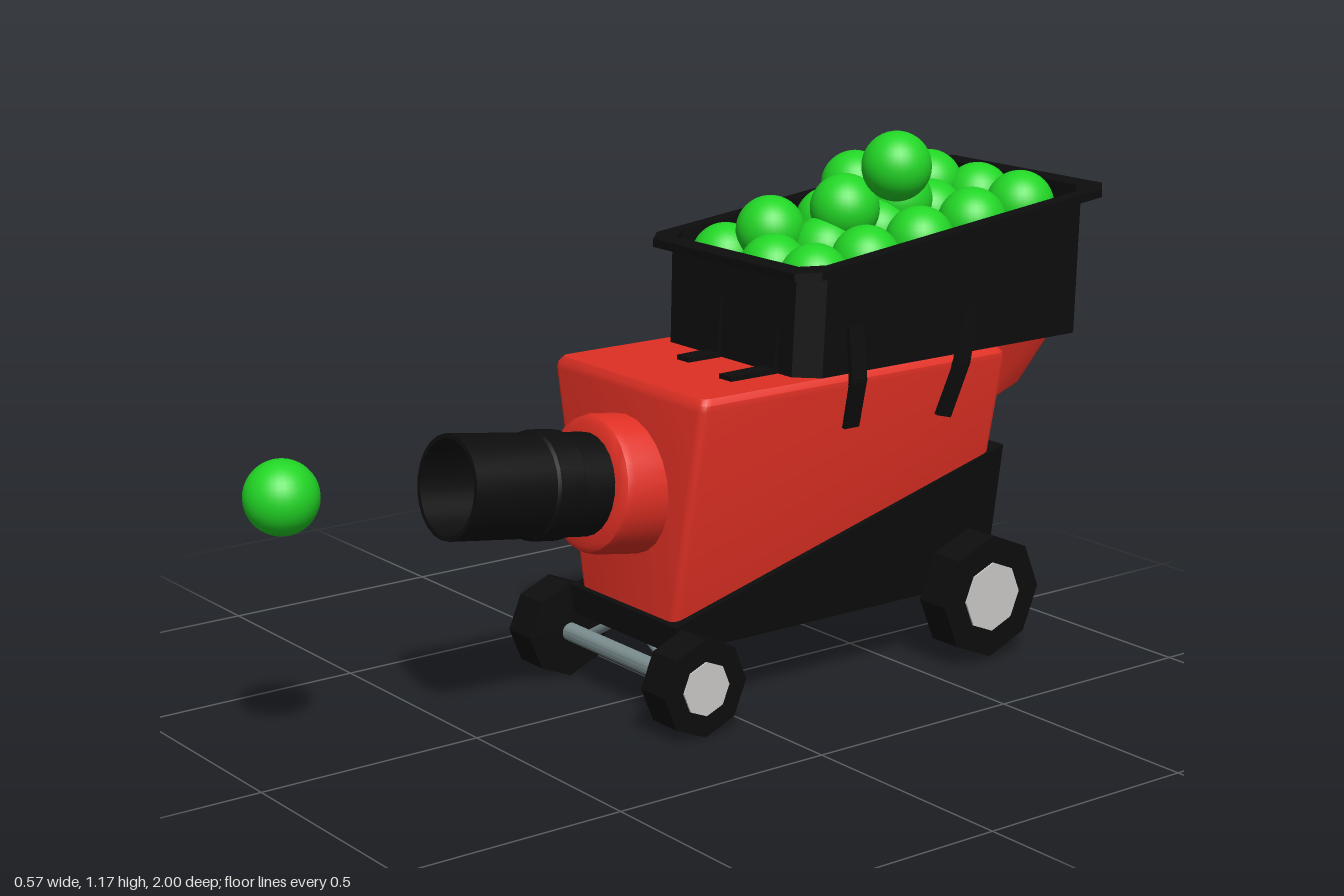
import * as THREE from 'three';
import { toCreasedNormals } from 'three/addons/utils/BufferGeometryUtils.js';

const material = (name, color, side = THREE.FrontSide) => {
  const m = new THREE.MeshStandardMaterial({ color, side });
  m.name = name;
  return m;
};

// Rounded rectangle in plan, counter-clockwise from above; y may depend on z
function ring(hw, zBack, zFront, r, y, steps = 3) {
  const pts = [];
  const corners = [[hw - r, zBack + r], [-hw + r, zBack + r], [-hw + r, zFront - r], [hw - r, zFront - r]];
  corners.forEach(([cx, cz], c) => {
    for (let i = 0; i <= (r ? steps : 0); i++) {
      const a = (c + (r ? i / steps : 0)) * Math.PI / 2;
      const z = cz - Math.sin(a) * r;
      const w = typeof y === 'function' ? y(z) : y;
      pts.push(new THREE.Vector3(cx + Math.cos(a) * r, w, z));
    }
  });
  return pts;
}

// Skin a stack of rings and close both ends
function loft(rings) {
  const p = [];
  const tri = (...v) => v.forEach(q => p.push(q.x, q.y, q.z));
  const n = rings[0].length;
  for (let k = 0; k < rings.length - 1; k++) {
    for (let i = 0; i < n; i++) {
      const j = (i + 1) % n, a = rings[k], b = rings[k + 1];
      tri(a[i], a[j], b[j]);
      tri(a[i], b[j], b[i]);
    }
  }
  const first = rings[0], last = rings[rings.length - 1];
  for (let i = 1; i < n - 1; i++) {
    tri(first[0], first[i + 1], first[i]);
    tri(last[0], last[i], last[i + 1]);
  }
  const g = new THREE.BufferGeometry();
  g.setAttribute('position', new THREE.Float32BufferAttribute(p, 3));
  return toCreasedNormals(g, 0.6);
}

export function createModel() {
  const model = new THREE.Group();
  model.name = 'ballLauncherCart';
  const red = material('red', 0xe03024);
  const black = material('black', 0x0d0d0d, THREE.DoubleSide);
  const green = material('green', 0x22d626);
  const steel = material('steel', 0x7b8d90);
  const hubGrey = material('hub grey', 0xcbcac8);

  const add = (name, geo, mat, x = 0, y = 0, z = 0, parent = model) => {
    const m = new THREE.Mesh(geo, mat);
    m.name = name;
    m.position.set(x, y, z);
    parent.add(m);
    return m;
  };

  // Tapered red body with softened edges
  add('body', loft([
    ring(0.163, -0.71, 0.12, 0.02, 0.19),
    ring(0.261, -0.71, 0.12, 0.02, 0.677),
    ring(0.26, -0.707, 0.117, 0.02, 0.69),
    ring(0.25, -0.70, 0.11, 0.02, 0.702),
  ]), red);

  // Feed chute below the rear overhang of the hopper
  add('feedChute', loft([
    ring(0.13, -0.88, -0.69, 0.015, z => 0.52 - (z + 0.71) * 0.35),
    ring(0.17, -0.95, -0.69, 0.015, 0.705),
  ]), red);

  // Wedge-shaped base, wider where it rises at the back
  const baseTop = ring(0.2, -0.74, 0.13, 0, z => 0.21 + (0.13 - z) * 0.3);
  baseTop.forEach(v => { v.x = Math.sign(v.x) * (0.178 + 0.145 * (v.y - 0.15)); });
  add('base', loft([ring(0.178, -0.74, 0.13, 0, 0.15), baseTop]), black);

  // Open hopper with a sloping lip
  const lip = z => 0.928 + (-0.13 - z) * 0.113;
  const under = z => lip(z) - 0.018;
  add('hopper', loft([
    ring(0.252, -0.96, -0.152, 0.045, 0.703, 1),
    ring(0.256, -0.965, -0.16, 0.045, under, 1),
    ring(0.28, -1, -0.13, 0.04, under, 1),
    ring(0.28, -1, -0.13, 0.04, lip, 1),
    ring(0.245, -0.955, -0.17, 0.04, lip, 1),
    ring(0.24, -0.95, -0.17, 0.04, 0.72, 1),
  ]), black);

  // Nozzle tilted upward: red collar and hollow black barrel
  const nozzle = new THREE.Group();
  nozzle.name = 'nozzle';
  nozzle.position.set(0, 0.477, 0.12);
  nozzle.rotation.x = -0.145;
  model.add(nozzle);
  const turned = pts => toCreasedNormals(
    new THREE.LatheGeometry(pts.map(p => new THREE.Vector2(...p)), 24).rotateX(Math.PI / 2), 0.6);
  add('collar', turned([[0.148, -0.06], [0.146, 0.085], [0.141, 0.1], [0.128, 0.108], [0.09, 0.108]]), red, 0, 0, 0, nozzle);
  add('barrel', turned([[0.108, 0.06], [0.108, 0.18], [0.114, 0.185], [0.114, 0.245], [0.108, 0.25],
    [0.108, 0.445], [0.098, 0.445], [0.098, 0.1], [0, 0.1]]), black, 0, 0, 0, nozzle);

  // Octagonal wheels with pale hubs, and axles
  const disc = (r, w, sides) => toCreasedNormals(new THREE.CylinderGeometry(r, r, w, sides).rotateZ(Math.PI / 2), 0.6);
  for (const [name, y, z, r, hub] of [['front', 0.105, 0.125, 0.105, 0.058], ['rear', 0.15, -0.665, 0.138, 0.078]]) {
    for (const s of [-1, 1]) {
      add(name + 'Wheel', disc(r, 0.08, 8), black, s * 0.24, y, z);
      add(name + 'Hub', disc(hub, 0.008, 8), hubGrey, s * 0.28, y, z);
    }
    add(name + 'Axle', disc(0.02, 0.42, 16), steel, 0, name === 'rear' ? 0.14 : 0.1, z);
  }

  // Struts from the front axle to the base
  for (const s of [-1, 1]) {
    const strut = add('axleStrut', new THREE.CylinderGeometry(0.01, 0.01, 0.11, 8), steel, s * 0.1, 0.132, 0.11);
    strut.rotation.z = s * 1.05;
  }

  // Flat bent straps holding the hopper
  const strap = (name, pts, up) => {
    const v = pts.map(p => new THREE.Vector3(...p));
    for (let i = 0; i < v.length - 1; i++) {
      const m = add(name, new THREE.BoxGeometry(0.04, 0.012, v[i].distanceTo(v[i + 1]) + 0.008), black);
      m.up.set(...up);
      m.position.copy(v[i]).lerp(v[i + 1], 0.5);
      m.lookAt(v[i + 1]);
    }
  };
  for (const s of [-1, 1]) {
    for (const [z, lean, low] of [[-0.28, 0, 0.59], [-0.57, 0.03, 0.575]]) {
      strap('sideStrap', [[s * 0.257, 0.8, z - lean], [s * 0.268, 0.69, z], [s * 0.246, low, z + lean]], [s, 0, 0]);
    }
  }
  for (const [x, top, z] of [[-0.05, 0.83, -0.07], [0.14, 0.8, -0.035]]) {
    strap('frontStrap', [[x, top, -0.158], [x, 0.708, -0.148], [x, 0.706, z]], [0, 1, 1]);
  }

  // Balls: a lower layer in rows, a loose upper layer and one in flight
  const ball = new THREE.SphereGeometry(0.075, 32, 20);
  for (const x of [-0.14, 0.025, 0.16]) {
    for (const z of [-0.83, -0.69, -0.54, -0.39, -0.25]) add('ball', ball, green, x, 0.89 + (-0.25 - z) * 0.164, z);
  }
  for (const p of [[-0.06, 1.01, -0.76], [-0.125, 1.015, -0.6], [0.02, 1.0, -0.6],
    [0.115, 1.095, -0.51], [0.03, 1.0, -0.44], [-0.055, 0.955, -0.305]]) add('ball', ball, green, ...p);
  add('flyingBall', ball, green, -0.015, 0.58, 0.925);

  return model;
}
